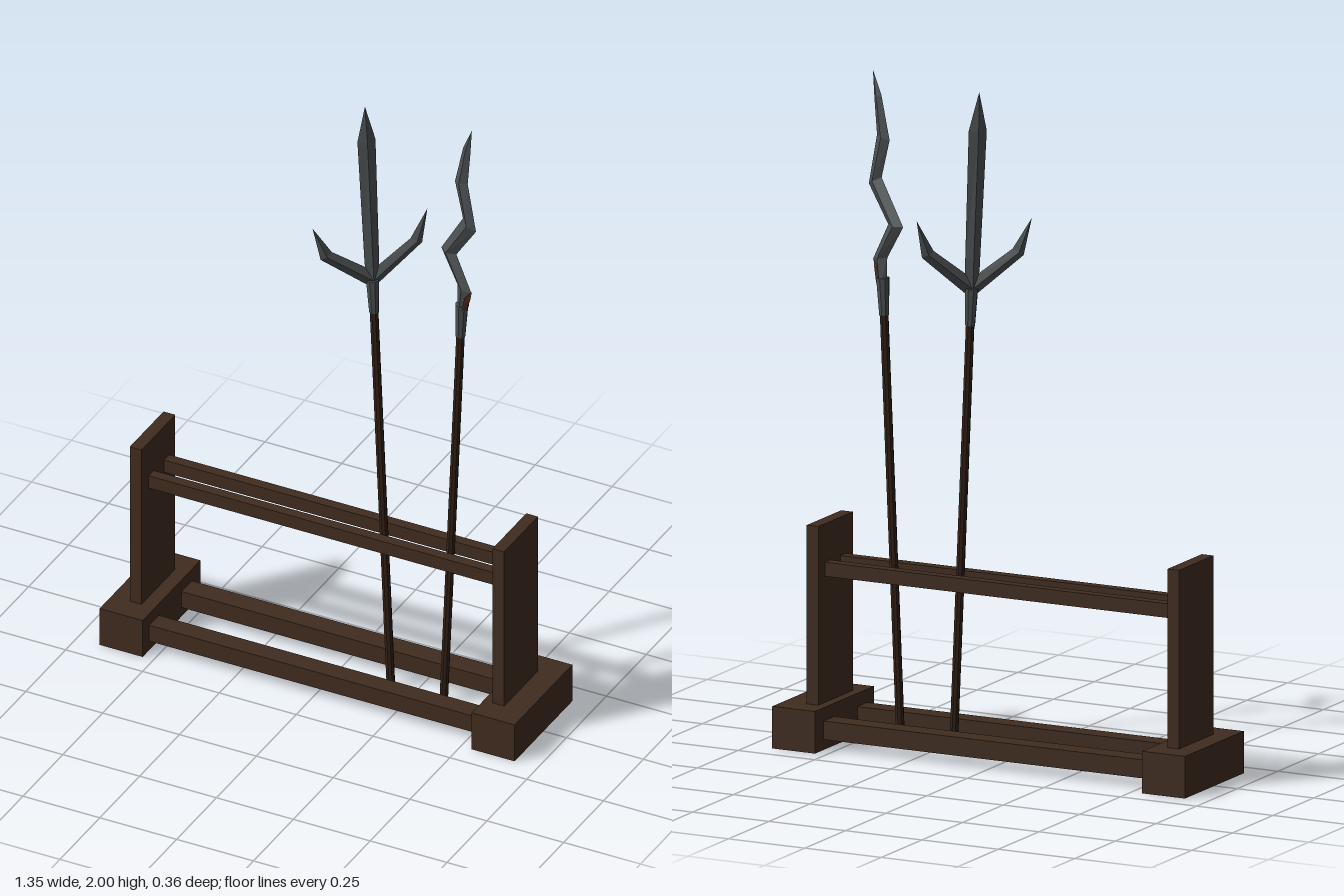
import * as THREE from 'three';

const mat = (name, color) => {
  const m = new THREE.MeshStandardMaterial({ color, flatShading: true });
  m.name = name;
  return m;
};

// Ridged blade with a diamond section; each station is [leftX, leftY, rightX, rightY, halfThickness]
function bladeGeometry(stations) {
  const pos = [], index = [];
  stations.forEach(([lx, ly, rx, ry, t], i) => {
    const mx = (lx + rx) / 2, my = (ly + ry) / 2;
    pos.push(lx, ly, 0, mx, my, t, rx, ry, 0, mx, my, -t);
    if (i === 0) return;
    for (let k = 0; k < 4; k++) {
      const a = (i - 1) * 4 + k, b = (i - 1) * 4 + (k + 1) % 4;
      index.push(a, b, b + 4, a, b + 4, a + 4);
    }
  });
  index.push(0, 2, 1, 0, 3, 2);
  const g = new THREE.BufferGeometry();
  g.setAttribute('position', new THREE.Float32BufferAttribute(pos, 3));
  g.setIndex(index);
  const flat = g.toNonIndexed();
  flat.computeVertexNormals();
  return flat;
}

export function createModel() {
  const model = new THREE.Group();
  model.name = 'weaponRack';
  const wood = mat('dark wood', 0x402c20);
  const shaftWood = mat('shaft wood', 0x332117);
  const steel = mat('dark steel', 0x4c5052);
  const rust = mat('rust brown', 0x5e3520);

  const add = (parent, name, geometry, material) => {
    const mesh = new THREE.Mesh(geometry, material);
    mesh.name = name;
    parent.add(mesh);
    return mesh;
  };
  const box = (name, w, h, d, x, y, z) =>
    add(model, name, new THREE.BoxGeometry(w, h, d), wood).position.set(x, y, z);
  const rod = (parent, name, r0, r1, y0, y1, material) => {
    const m = add(parent, name, new THREE.CylinderGeometry(r1, r0, y1 - y0, 8), material);
    m.position.y = (y0 + y1) / 2;
    return m;
  };

  // Rack ends
  for (const [side, s, postX] of [['left', 1, 0.583], ['right', -1, -0.597]]) {
    box(side + 'Foot', 0.14, 0.125, 0.362, s * 0.605, 0.0625, 0);
    box(side + 'Post', 0.038, 0.54, 0.212, postX, 0.385, 0);
  }

  // Rails joining the ends
  box('frontLowerRail', 1.14, 0.055, 0.06, 0, 0.058, 0.11);
  box('backLowerRail', 1.14, 0.055, 0.065, 0, 0.058, -0.095);
  box('frontUpperRail', 1.16, 0.042, 0.032, 0, 0.52, 0.045);
  box('backUpperRail', 1.16, 0.042, 0.032, 0, 0.52, -0.05);

  // Trident, leaning towards the model's right
  const trident = new THREE.Group();
  trident.name = 'trident';
  trident.position.set(0.179, 0, 0);
  trident.rotation.z = 0.043;
  model.add(trident);
  rod(trident, 'tridentShaft', 0.013, 0.013, 0.002, 1.34, shaftWood);
  rod(trident, 'tridentSocket', 0.015, 0.02, 1.28, 1.39, steel);
  const head = new THREE.Group();
  head.name = 'tridentHead';
  head.rotation.y = 0.745;
  trident.add(head);
  add(head, 'middleProng', bladeGeometry([
    [-0.016, 1.36, 0.016, 1.36, 0.014],
    [-0.022, 1.45, 0.022, 1.45, 0.013],
    [-0.027, 1.86, 0.027, 1.86, 0.011],
    [0, 1.975, 0, 1.975, 0],
  ]), steel);
  const prong = [
    [0, 1.36, 0, 1.42, 0.012],
    [-0.152, 1.485, -0.118, 1.505, 0.01],
    [-0.172, 1.595, -0.172, 1.595, 0],
  ];
  add(head, 'rightProng', bladeGeometry(prong), steel);
  add(head, 'leftProng', bladeGeometry(
    prong.map(([lx, ly, rx, ry, t]) => [-rx, ry, -lx, ly, t])), steel);

  // Wavy spear, leaning towards the model's left
  const spear = new THREE.Group();
  spear.name = 'wavySpear';
  spear.position.set(0.35, 0, 0);
  model.add(spear);
  const pole = new THREE.Group();
  pole.name = 'spearPole';
  pole.rotation.z = -0.043;
  spear.add(pole);
  rod(pole, 'spearShaft', 0.013, 0.013, 0.002, 1.34, shaftWood);
  rod(pole, 'spearSocket', 0.015, 0.02, 1.28, 1.39, steel);

  // Blade coordinates are measured from the blade's own axis
  const blade = new THREE.Group();
  blade.name = 'spearHead';
  blade.position.x = 0.06;
  blade.rotation.y = -0.25;
  spear.add(blade);
  add(blade, 'wavyBlade', bladeGeometry([
    [-0.016, 1.36, 0.014, 1.36, 0.015],
    [-0.018, 1.45, 0.037, 1.44, 0.015],
    [-0.08, 1.55, -0.022, 1.55, 0.015],
    [0.004, 1.685, 0.054, 1.66, 0.014],
    [-0.027, 1.80, 0.022, 1.81, 0.012],
    [0.005, 1.93, 0.032, 1.915, 0.008],
    [0.038, 2.0, 0.038, 2.0, 0],
  ]), steel);
  add(blade, 'rustedEdge', bladeGeometry([
    [0.004, 1.375, 0.018, 1.375, 0.016],
    [0.008, 1.42, 0.033, 1.42, 0.014],
    [0.036, 1.445, 0.036, 1.445, 0],
  ]), rust);

  return model;
}
